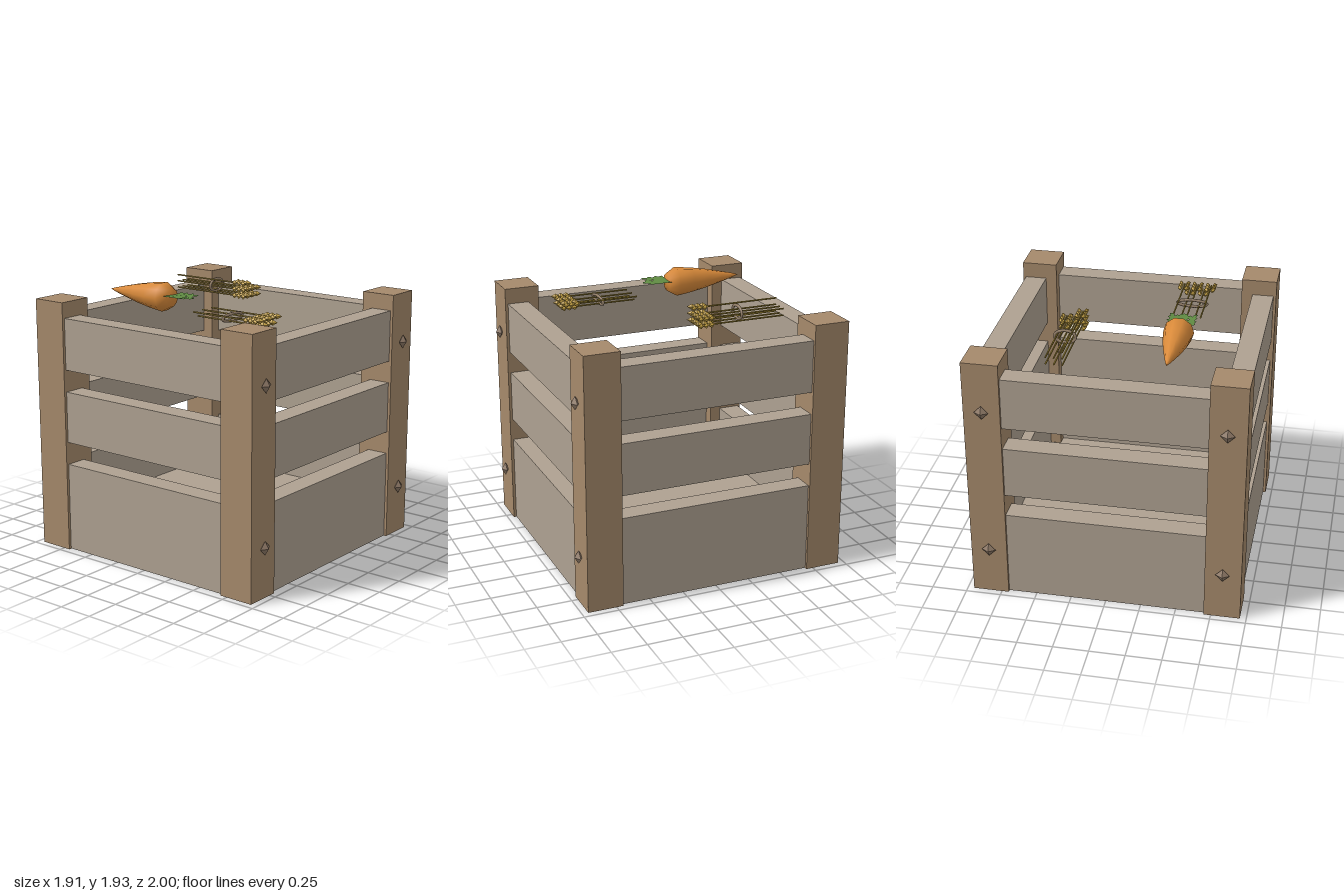
import * as THREE from 'three';

const mat = (name, color, extra = {}) => {
  const m = new THREE.MeshStandardMaterial({ color, ...extra });
  m.name = name;
  return m;
};

export function createModel() {
  const root = new THREE.Group();
  root.name = 'crate';

  const postWood = mat('post wood', 0xa5896b, { flatShading: true });
  const plankWood = mat('plank wood', 0xaea191, { flatShading: true });
  const studMetal = mat('stud metal', 0x8f7a68, { flatShading: true });
  const orange = mat('carrot orange', 0xd98a3a);
  const green = mat('leaf green', 0x5f8a42, { side: THREE.DoubleSide });
  const straw = mat('straw', 0x9c8432, { flatShading: true });
  const grainGold = mat('grain gold', 0xc9a547, { flatShading: true });
  const twine = mat('twine', 0x958069);

  const add = (parent, name, geo, material, x = 0, y = 0, z = 0) => {
    const m = new THREE.Mesh(geo, material);
    m.name = name;
    m.position.set(x, y, z);
    parent.add(m);
    return m;
  };

  // Corner posts, each with two studs on its front or back face
  const postGeo = new THREE.BoxGeometry(0.255, 1.815, 0.255);
  const studGeo = new THREE.OctahedronGeometry(1).scale(0.05, 0.05, 0.03);
  for (const sx of [-1, 1]) for (const sz of [-1, 1]) {
    add(root, 'cornerPost', postGeo, postWood, sx * 0.8275, 0.9075, sz * 0.8275);
    for (const y of [0.36, 1.46]) add(root, 'stud', studGeo, studMetal, sx * 0.825, y, sz * 0.97);
  }

  // Solid floor and three rows of side planks
  add(root, 'floor', new THREE.BoxGeometry(1.87, 0.268, 1.87), plankWood, 0, 0.136, 0);
  const plankGeo = new THREE.BoxGeometry(1.42, 0.37, 0.155);
  for (const y of [0.455, 0.988, 1.517]) {
    for (let i = 0; i < 4; i++) {
      const a = i * Math.PI / 2;
      const p = add(root, 'sidePlank', plankGeo, plankWood, Math.sin(a) * 0.8575, y, Math.cos(a) * 0.8575);
      p.rotation.y = a;
    }
  }

  // Carrot, turned around the z axis with its tip to the back
  const carrot = new THREE.Group();
  carrot.name = 'carrot';
  carrot.position.set(-0.383, 1.825, 0);
  root.add(carrot);
  const profile = [[0, -0.765], [0.016, -0.715], [0.04, -0.62], [0.068, -0.5], [0.09, -0.38],
    [0.106, -0.255], [0.066, -0.187], [0, -0.18]].map(([r, z]) => new THREE.Vector2(r, z));
  const body = new THREE.LatheGeometry(profile, 10, Math.PI / 2).rotateX(Math.PI / 2);
  add(carrot, 'carrotBody', body, orange);

  // Jagged leaf sheet, mirrored about its middle, edges bent slightly up
  const half = [[0.066, -0.19], [0.1, -0.185], [0.09, -0.155], [0.105, -0.135], [0.085, -0.11],
    [0.104, -0.08], [0.088, -0.06], [0.1, -0.025], [0.07, -0.018], [0.062, -0.05],
    [0.045, -0.025], [0.03, -0.03], [0.024, -0.008], [0, 0.005]];
  const outline = [...half, ...half.slice(0, -1).reverse().map(([x, z]) => [-x, z])];
  const leafShape = new THREE.Shape(outline.map(([x, z]) => new THREE.Vector2(x, -z)));
  for (const s of [-1, 1]) {
    leafShape.holes.push(new THREE.Path([[0.03, 0.09], [0.05, 0.1], [0.04, 0.075]]
      .map(([x, y]) => new THREE.Vector2(s * x, y))));
  }
  const leafGeo = new THREE.ShapeGeometry(leafShape).rotateX(-Math.PI / 2);
  const lp = leafGeo.attributes.position;
  for (let i = 0; i < lp.count; i++) lp.setY(i, 0.014 + 1.2 * lp.getX(i) ** 2);
  leafGeo.computeVertexNormals();
  add(carrot, 'carrotLeaves', leafGeo, green);

  // Bundles of grain: stalks along z, heads towards +z, tied with a band
  const grainGeo = new THREE.OctahedronGeometry(1).scale(0.016, 0.021, 0.036);
  const bundle = (name, stalks, back, tip, band) => {
    const g = new THREE.Group();
    g.name = name;
    root.add(g);
    const len = tip - 0.03 - back;
    const stalkGeo = new THREE.CylinderGeometry(0.006, 0.006, len, 5).rotateX(Math.PI / 2);
    for (const [x, y] of stalks) {
      add(g, 'stalk', stalkGeo, straw, x, y, back + len / 2);
      for (let k = 0; k < 3; k++) for (const s of [-1, 1]) {
        const grain = add(g, 'grain', grainGeo, grainGold, x + s * 0.024, y + 0.003, tip - 0.034 - k * 0.04);
        grain.rotation.y = s * 0.45;
      }
    }
    const pts = [];
    for (let i = 0; i < 14; i++) {
      const a = i / 14 * Math.PI * 2;
      pts.push(new THREE.Vector3(band.x + Math.cos(a) * band.rx, band.y + Math.sin(a) * band.ry, band.z));
    }
    const loop = new THREE.CatmullRomCurve3(pts, true);
    add(g, 'twineBand', new THREE.TubeGeometry(loop, 28, 0.011, 6, true), twine);
  };

  bundle('flatGrainBundle',
    [-0.482, -0.433, -0.384, -0.335, -0.286].map((x, i) => [x, i % 2 ? 1.74 : 1.775]),
    0.09, 0.67, { x: -0.385, y: 1.758, z: 0.353, rx: 0.108, ry: 0.024 });

  bundle('roundGrainBundle',
    [[0.322, 1.74], [0.38, 1.74], [0.437, 1.74], [0.322, 1.788], [0.38, 1.788], [0.437, 1.788], [0.322, 1.835]],
    -0.725, -0.05, { x: 0.378, y: 1.787, z: -0.395, rx: 0.074, ry: 0.045 });

  return root;
}
